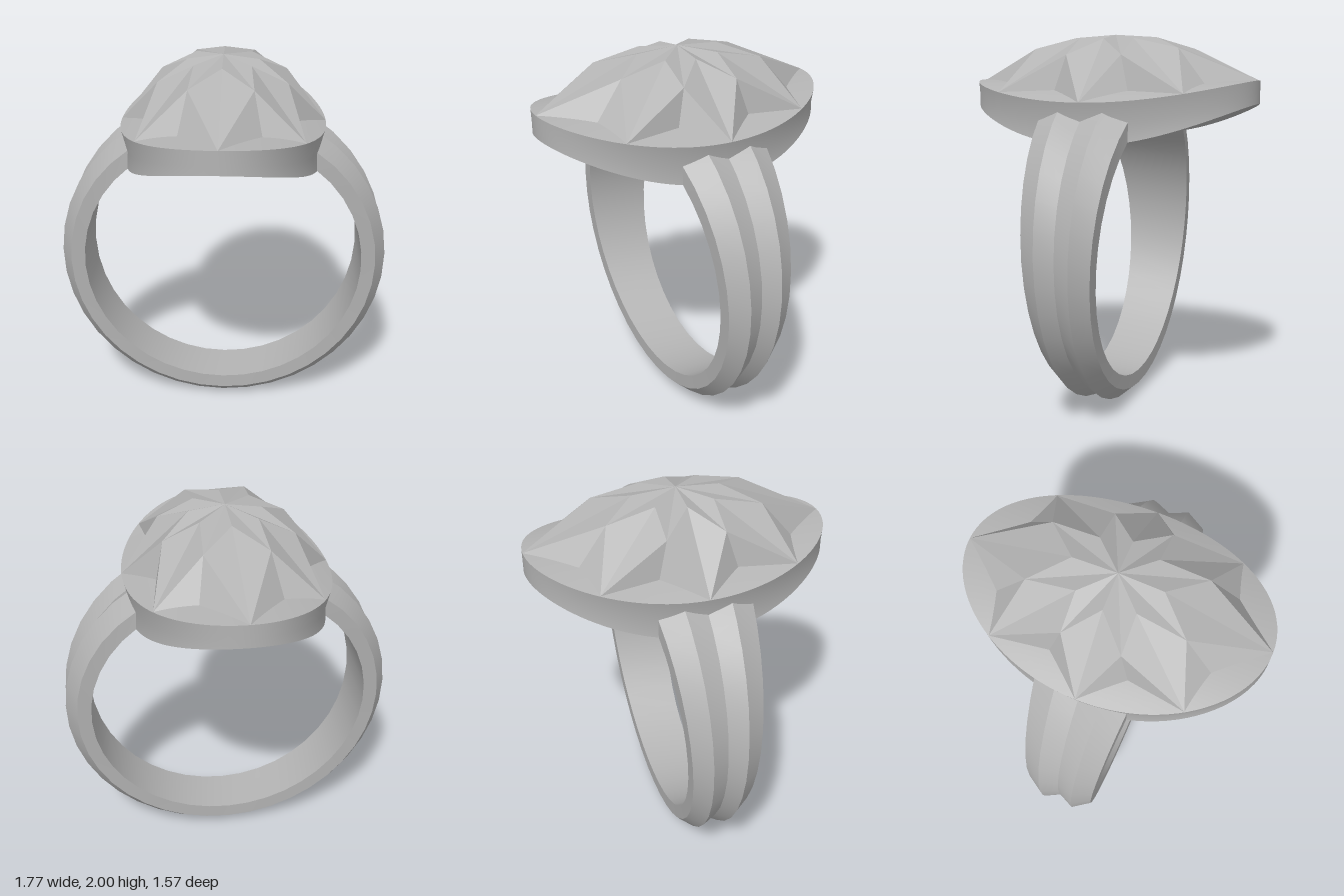
import * as THREE from 'three';
import { toCreasedNormals } from 'three/addons/utils/BufferGeometryUtils.js';

const CENTRE_Y = 0.89, INNER_R = 0.75;
const RX = 0.535, RZ = 0.785; // oval head half sizes

// Skins a list of rings; each ring is closed on itself
function loft(rings, crease) {
  const n = rings[0].length, index = [];
  for (let i = 0; i < rings.length - 1; i++) {
    for (let j = 0; j < n; j++) {
      const k = (j + 1) % n;
      const a = i * n + j, b = a + n, c = (i + 1) * n + k, d = i * n + k;
      index.push(a, b, c, a, c, d);
    }
  }
  const geo = new THREE.BufferGeometry();
  geo.setAttribute('position', new THREE.Float32BufferAttribute(rings.flat(2), 3));
  geo.setIndex(index);
  return toCreasedNormals(geo, crease);
}

// Height of the gently arched top of the head
const topY = x => 1.76 - 1.41 + Math.sqrt(1.41 * 1.41 - x * x);
// Height of the finger hole above x
const boreY = x => CENTRE_Y + Math.sqrt(INNER_R * INNER_R - x * x);

// Band: double-ridged section that widens towards the head
function bandGeometry() {
  const section = [[0.75, -1], [0.825, -1], [0.885, -0.5], [0.845, 0], [0.885, 0.5], [0.825, 1], [0.75, 1]];
  const rings = [], steps = 32;
  for (let i = 0; i <= steps; i++) {
    const t = (i / steps) * 2 - 1;
    const half = 0.138 + 0.105 * t * t;
    rings.push(section.map(([r, w]) => {
      const a = t * (Math.PI - Math.asin(0.475 / r));
      return [r * Math.sin(a), CENTRE_Y - r * Math.cos(a), w * half];
    }));
  }
  return loft(rings, 0.35);
}

// Head: arched oval slab with a waisted wall, hollowed to the finger hole
function headGeometry() {
  const ring = (rx, rz, height) => Array.from({ length: 96 }, (_, j) => {
    const a = (j / 96) * Math.PI * 2, x = rx * Math.cos(a);
    return [x, height(x), -rz * Math.sin(a)];
  });
  const rings = [], steps = 10;
  for (let i = 0; i <= steps; i++) rings.push(ring(RX * i / steps, RZ * i / steps, topY));
  rings.push(ring(0.505, RZ, x => 0.6 * boreY(x) + 0.4 * topY(x)));
  for (let i = steps; i >= 0; i--) rings.push(ring(0.51 * i / steps, RZ * i / steps, boreY));
  return loft(rings, 0.6);
}

// Faceted eight-pointed star, one quadrant mirrored four ways
function starGeometry() {
  const C = [0, 2, 0];
  const onTop = (x, z) => [x, topY(x), z];
  const tips = [onTop(0, 0.785), onTop(0.41, 0.5), onTop(0.535, 0)];
  const inner = [[0, 1.985, 0.23], [0.145, 1.978, 0.15], [0.185, 1.975, 0]];
  const peaks = [[0.16, 1.925, 0.4], [0.33, 1.89, 0.15]];
  const valleys = [onTop(0.2, 0.55), onTop(0.37, 0.2)];
  const out = [];
  const facet = (sx, sz, ...pts) => {
    const [p, q, r] = pts.map(v => new THREE.Vector3(v[0] * sx, v[1], v[2] * sz));
    const up = q.clone().sub(p).cross(r.clone().sub(p)).y > 0;
    for (const v of up ? [p, q, r] : [p, r, q]) out.push(v.x, v.y, v.z);
  };
  for (const sx of [1, -1]) for (const sz of [1, -1]) {
    for (let k = 0; k < 2; k++) {
      for (const s of [k, k + 1]) {
        facet(sx, sz, C, inner[s], peaks[k]);
        facet(sx, sz, inner[s], tips[s], peaks[k]);
        facet(sx, sz, peaks[k], tips[s], valleys[k]);
      }
    }
  }
  const geo = new THREE.BufferGeometry();
  geo.setAttribute('position', new THREE.Float32BufferAttribute(out, 3));
  geo.computeVertexNormals();
  return geo;
}

export function createModel() {
  const group = new THREE.Group();
  group.name = 'ring';
  const metal = new THREE.MeshStandardMaterial({ color: 0xb4b4b4 });
  metal.name = 'grey metal';
  const add = (name, geo) => {
    const mesh = new THREE.Mesh(geo, metal);
    mesh.name = name;
    group.add(mesh);
  };
  add('band', bandGeometry());
  add('ovalHead', headGeometry());
  add('facetedStar', starGeometry());
  return group;
}
